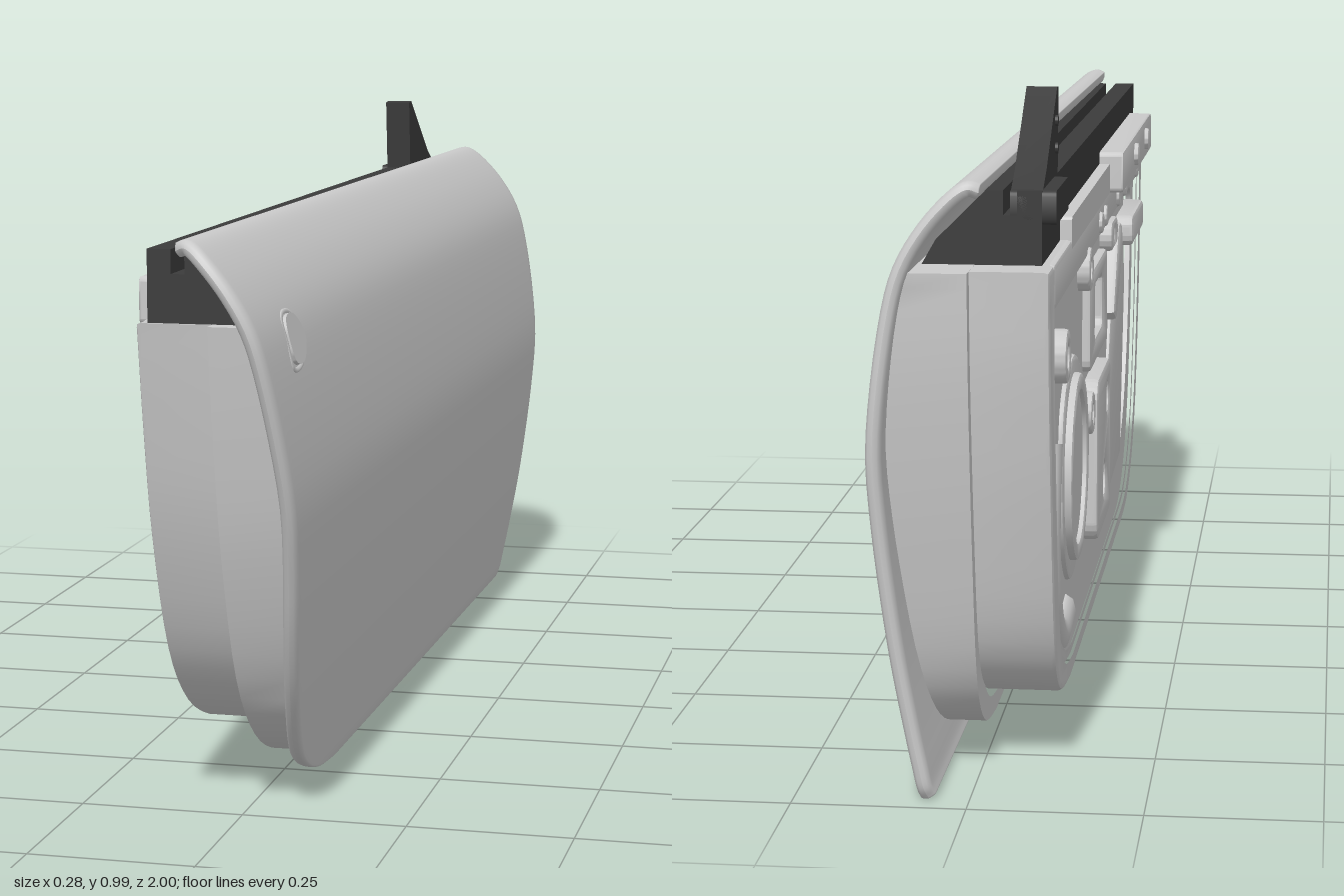
import * as THREE from 'three';
import { toCreasedNormals } from 'three/addons/utils/BufferGeometryUtils.js';

const paint = new THREE.MeshStandardMaterial({ color: 0xcbcbcb });
paint.name = 'light grey paint';
const rubber = new THREE.MeshStandardMaterial({ color: 0x3b3b3b });
rubber.name = 'dark trim';

// Skin profile rows: [height y, outward x, rear edge z, leading edge z]
const rows = [
  [0.002, 0.058, 0.40, -0.965], [0.02, 0.064, 0.54, -0.975], [0.05, 0.070, 0.63, -0.978],
  [0.1, 0.080, 0.705, -0.98], [0.2, 0.098, 0.79, -0.985], [0.3, 0.112, 0.847, -0.99],
  [0.4, 0.123, 0.888, -0.995], [0.5, 0.129, 0.925, -1.0], [0.6, 0.122, 0.957, -0.998],
  [0.7, 0.108, 0.985, -0.99], [0.76, 0.092, 0.997, -0.984], [0.81, 0.064, 1.0, -0.978],
  [0.85, 0.030, 0.993, -0.972], [0.87, 0.003, 0.978, -0.966], [0.866, -0.016, 0.965, -0.96],
];
const curveOf = (f) => new THREE.CatmullRomCurve3(rows.map(f), false, 'catmullrom', 0.5);
const profile = curveOf((r) => new THREE.Vector3(r[1], r[0], r[2]));
const leading = curveOf((r) => new THREE.Vector3(r[1], r[0], r[3]));

function skinX(y, z) {
  let i = 0;
  while (i < 12 && rows[i + 1][0] < y) i++;
  const [a, b] = [rows[i], rows[i + 1]];
  const k = THREE.MathUtils.clamp((y - a[0]) / (b[0] - a[0]), 0, 1);
  return a[1] + (b[1] - a[1]) * k - 0.0075 * (z + 1);
}

// One face of the curved skin; the two faces meet at a rounded rim
function skinFace(side) {
  const g = new THREE.PlaneGeometry(1, 1, 48, 64);
  const p = g.attributes.position;
  const ease = (t) => (1 - Math.cos(Math.PI * t)) / 2;
  const round = (d) => { const k = 1 - Math.min(1, d / 0.012); return Math.sqrt(1 - k * k); };
  for (let i = 0; i < p.count; i++) {
    const u = ease(THREE.MathUtils.clamp(0.5 + side * p.getX(i), 0, 1));
    const v = ease(THREE.MathUtils.clamp(p.getY(i) + 0.5, 0, 1));
    const a = profile.getPoint(v), b = leading.getPoint(v);
    const z = a.z + (b.z - a.z) * u;
    const tan = profile.getTangent(v);
    const n = new THREE.Vector2(tan.y, -tan.x).normalize();
    const t = side * 0.011 * round(2 * Math.min(u, 1 - u)) * round(1.2 * Math.min(v, 1 - v));
    p.setXYZ(i, a.x + n.x * t - 0.0075 * (z + 1), a.y + n.y * t, z);
  }
  g.computeVertexNormals();
  return g;
}

const V = (pts) => pts.map(([z, y]) => new THREE.Vector2(z, y));
const poly = (pts) => new THREE.Shape(V(pts));
function roundRect(z0, y0, z1, y1, r) {
  const s = new THREE.Shape();
  s.absarc(z1 - r, y0 + r, r, -Math.PI / 2, 0);
  s.absarc(z1 - r, y1 - r, r, 0, Math.PI / 2);
  s.absarc(z0 + r, y1 - r, r, Math.PI / 2, Math.PI);
  s.absarc(z0 + r, y0 + r, r, Math.PI, Math.PI * 1.5);
  return s;
}
function circle(z, y, r) {
  const s = new THREE.Shape();
  s.absarc(z, y, r, 0, Math.PI * 2);
  return s;
}
// Smooth closed outline
const blob = (pts) => new THREE.Shape(new THREE.CatmullRomCurve3(
  pts.map(([z, y]) => new THREE.Vector3(z, y, 0)), true).getPoints(48).map((q) => new THREE.Vector2(q.x, q.y)));

// Door frame outline, rounded at both lower corners
function outline(scaleZ, mapY) {
  const pts = [[0.895, 0.755], [0.87, 0.6], [0.832, 0.43], [0.76, 0.25], [0.66, 0.145], [0.53, 0.09], [0.4, 0.08],
    [-0.62, 0.08], [-0.76, 0.105], [-0.85, 0.19], [-0.9, 0.38], [-0.935, 0.6], [-0.945, 0.755]];
  const m = V(pts.map(([z, y]) => [z * scaleZ, mapY(y)]));
  const a = new THREE.SplineCurve(m.slice(0, 7)).getPoints(24);
  const b = new THREE.SplineCurve(m.slice(7)).getPoints(24);
  return new THREE.Shape([...a, ...b]);
}

export function createModel() {
  const door = new THREE.Group();
  door.name = 'door';
  const add = (name, g, mat = paint) => {
    const m = new THREE.Mesh(g, mat);
    m.name = name;
    door.add(m);
    return m;
  };
  // Extrudes a (z, y) shape from x1 inward to x0
  const slab = (name, shape, x0, x1, mat = paint, bevel = 0, holes = []) => {
    shape.holes.push(...holes);
    const g = new THREE.ExtrudeGeometry(shape, { depth: x1 - x0 - bevel, curveSegments: 20,
      bevelEnabled: bevel > 0, bevelSize: bevel, bevelThickness: bevel, bevelOffset: -bevel, bevelSegments: 2 });
    g.rotateY(-Math.PI / 2).translate(x1, 0, 0);
    return add(name, toCreasedNormals(g, 0.6), mat);
  };

  // Outer skin
  add('outerSkin', skinFace(1));
  add('skinLining', skinFace(-1));

  // Handle cup and flap following the skin
  const dPath = new THREE.CatmullRomCurve3([[0.848, 0.762], [0.80, 0.764], [0.762, 0.727], [0.80, 0.692], [0.848, 0.69], [0.853, 0.725]]
    .map(([z, y]) => new THREE.Vector3(skinX(y, z) + 0.009, y, z)), true);
  add('handleRim', new THREE.TubeGeometry(dPath, 40, 0.005, 6, true));
  const flap = slab('handleFlap', blob([[0.045, 0.03], [0, 0.034], [-0.035, 0], [0, -0.034], [0.045, -0.03]]), 0, 0.012);
  flap.position.set(skinX(0.727, 0.8) + 0.004, 0.727, 0.8);
  flap.rotation.z = 0.26;

  // Shell between frame and skin, its outer edge trimmed to the skin
  const stretch = (y) => 0.035 + (y - 0.08) * 1.067;
  const shell = slab('outerShell', outline(1.025, stretch), 0, 0.12, paint, 0,
    [outline(0.96, (y) => 0.42 + (stretch(y) - 0.42) * 0.94)]);
  const sp = shell.geometry.attributes.position;
  for (let i = 0; i < sp.count; i++) {
    sp.setX(i, Math.min(sp.getX(i), skinX(sp.getY(i), sp.getZ(i)) - 0.008));
  }
  shell.geometry = toCreasedNormals(shell.geometry, 0.6);

  // Inner frame rim, bead and pressed panel
  const shrink = (k) => outline(k, (y) => 0.42 + (y - 0.42) * k);
  slab('frameRim', shrink(1), -0.112, 0, paint, 0.008, [shrink(0.94)]);
  slab('frameBead', shrink(0.925), -0.108, -0.09, paint, 0.005, [shrink(0.895)]);
  const opening = () => blob([[0.47, 0.2], [0.6, 0.24], [0.7, 0.36], [0.76, 0.52], [0.785, 0.64], [0.73, 0.68], [0.6, 0.67], [0.55, 0.52]]);
  slab('innerPanel', shrink(0.96), -0.098, -0.088, paint, 0, [opening(), roundRect(-0.2, 0.53, -0.04, 0.62, 0.015)]);
  slab('recessBack', roundRect(-0.22, 0.51, -0.02, 0.64, 0.01), -0.07, -0.065);
  slab('topRail', roundRect(-0.88, 0.69, 0.86, 0.755, 0.012), -0.113, -0.08, paint, 0.006);
  slab('sillStrip', roundRect(-0.62, 0.74, 0.1, 0.79, 0.005), -0.113, -0.095);
  slab('sillBracket', roundRect(0.08, 0.74, 0.8, 0.81, 0.008), -0.137, -0.092, paint, 0.005);
  for (const z of [0.35, 0.62]) slab('bracketStud', circle(z, 0.778, 0.02), -0.145, -0.13, paint, 0.004);

  // Pressed details of the inner panel
  slab('speakerSurround', blob([[-0.66, 0.5], [-0.5, 0.56], [-0.36, 0.5], [-0.34, 0.36], [-0.42, 0.24], [-0.56, 0.22], [-0.67, 0.33]]),
    -0.106, -0.09, paint, 0.006);
  slab('speakerRing', circle(-0.52, 0.39, 0.145), -0.118, -0.1, paint, 0.006, [circle(-0.52, 0.39, 0.118)]);
  slab('speakerPlate', circle(-0.52, 0.39, 0.122), -0.11, -0.1);
  slab('servicePlate', roundRect(-0.25, 0.2, 0.01, 0.47, 0.035), -0.122, -0.09, paint, 0.008,
    [circle(-0.05, 0.41, 0.028), circle(-0.11, 0.28, 0.032)]);
  slab('recessFrame', roundRect(-0.28, 0.49, 0.05, 0.65, 0.02), -0.112, -0.09, paint, 0.006,
    [roundRect(-0.2, 0.53, -0.04, 0.62, 0.015)]);
  slab('accessCover', poly([[0.04, 0.18], [0.46, 0.2], [0.55, 0.52], [0.52, 0.6], [0.32, 0.63]]), -0.104, -0.09, paint, 0.004);
  slab('diagonalRib', poly([[0.14, 0.52], [0.19, 0.5], [0.33, 0.62], [0.3, 0.66], [0.25, 0.66]]), -0.118, -0.09, paint, 0.007);
  slab('pullBracket', roundRect(0.41, 0.6, 0.69, 0.655, 0.02), -0.13, -0.09, paint, 0.008);
  slab('latchBoss', roundRect(0.05, 0.64, 0.18, 0.69, 0.024), -0.12, -0.09, paint, 0.006, [circle(0.12, 0.665, 0.014)]);
  const bosses = [[-0.34, 0.67, 0.035], [-0.3, 0.43, 0.035], [-0.73, 0.6, 0.04], [-0.12, 0.715, 0.018],
    [-0.03, 0.715, 0.018], [0.25, 0.715, 0.02], [0.4, 0.715, 0.02], [0.7, 0.715, 0.02]];
  for (const [z, y, r] of bosses) {
    slab('panelBoss', circle(z, y, r), -0.119, -0.09, paint, 0.005, [circle(z, y, r * 0.5)]);
  }
  const hook = new THREE.CatmullRomCurve3([[-0.78, 0.48], [-0.81, 0.34], [-0.77, 0.23], [-0.67, 0.165], [-0.56, 0.17]]
    .map(([z, y]) => new THREE.Vector3(0, y, z)));
  const hookRib = add('lowerHookRib', new THREE.TubeGeometry(hook, 32, 0.028, 8));
  hookRib.scale.x = 0.6;
  hookRib.position.x = -0.098;

  // Window seal with a glass slot, running the length of the sill
  const section = poly([[-0.095, 0.755], [0.075, 0.755], [0.055, 0.79], [0.02, 0.825], [-0.012, 0.845], [-0.012, 0.86],
    [-0.04, 0.86], [-0.04, 0.825], [-0.06, 0.825], [-0.06, 0.86], [-0.095, 0.86]]);
  add('windowSeal', new THREE.ExtrudeGeometry(section, { depth: 1.77, bevelEnabled: false }).translate(0, 0, -0.88), rubber);

  // Mirror mount
  slab('mirrorMount', poly([[-0.645, 0.985], [-0.665, 0.987], [-0.82, 0.882], [-0.87, 0.858], [-0.87, 0.84], [-0.66, 0.84]]),
    -0.095, -0.05, rubber);
  slab('mirrorBase', roundRect(-0.88, 0.812, -0.7, 0.86, 0.008), -0.115, -0.05, rubber);
  for (const y of [0.9, 0.94]) slab('mountStud', circle(-0.69, y, 0.008), -0.099, -0.09, rubber);

  return door;
}
